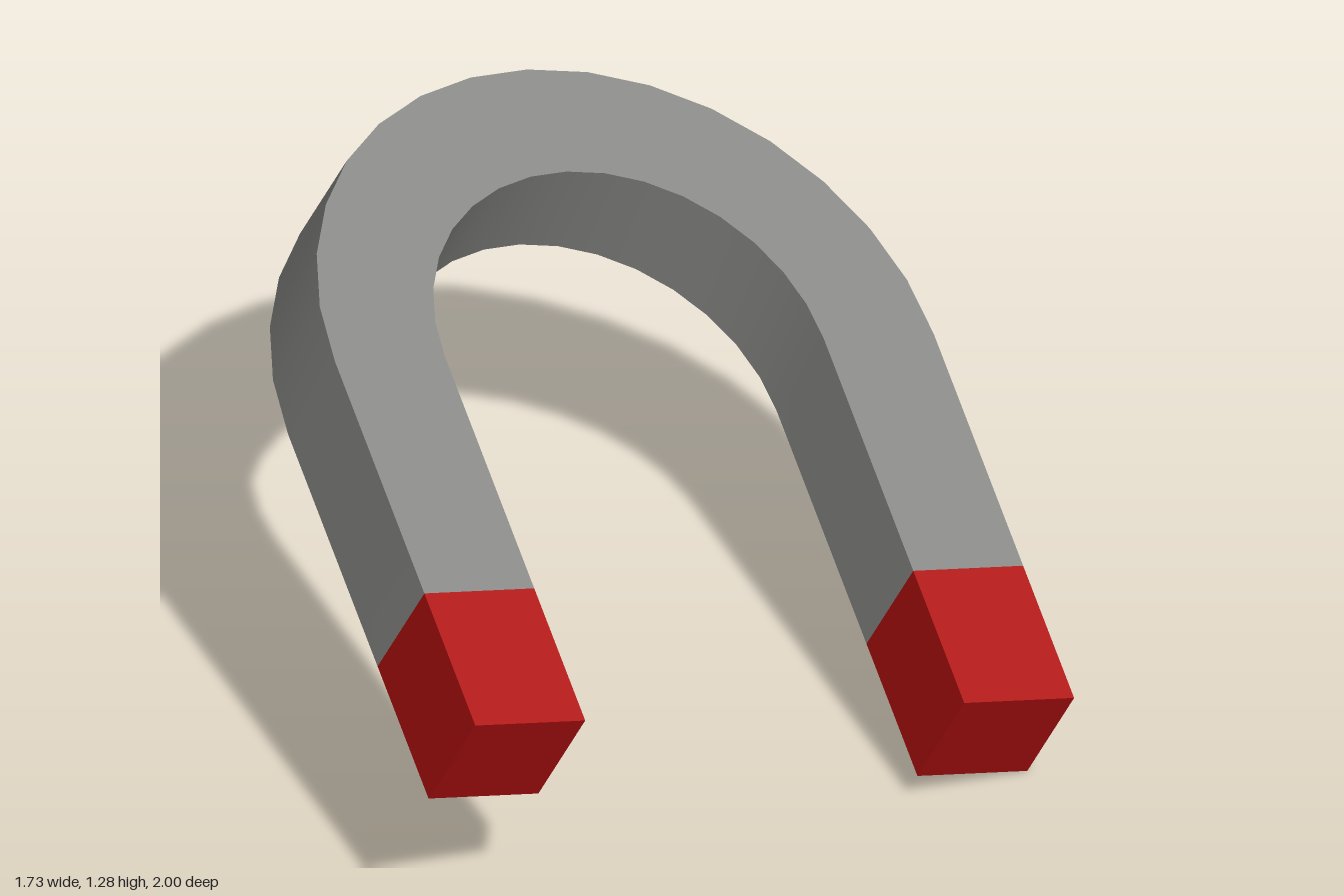
import * as THREE from 'three';
import { toCreasedNormals } from 'three/addons/utils/BufferGeometryUtils.js';

export function createModel() {
  const model = new THREE.Group();
  model.name = 'horseshoeMagnet';

  const steel = new THREE.MeshStandardMaterial({ color: 0x888886 });
  steel.name = 'grey steel';
  const red = new THREE.MeshStandardMaterial({ color: 0xb00f0f });
  red.name = 'red paint';

  const outer = 0.823, inner = 0.521, thick = 0.3;
  const legEnd = -0.686, tipEnd = -1.077;

  // Magnet in its own plane: arch up, legs down, thickness along z
  const magnet = new THREE.Group();
  magnet.name = 'magnet';

  // U-shaped body
  const u = new THREE.Shape();
  u.moveTo(outer, legEnd);
  u.lineTo(outer, 0);
  u.absarc(0, 0, outer, 0, Math.PI, false);
  u.lineTo(-outer, legEnd);
  u.lineTo(-inner, legEnd);
  u.lineTo(-inner, 0);
  u.absarc(0, 0, inner, Math.PI, 0, true);
  u.lineTo(inner, legEnd);
  u.closePath();
  const bodyGeo = new THREE.ExtrudeGeometry(u, { depth: thick, bevelEnabled: false, curveSegments: 8 });
  bodyGeo.translate(0, 0, -thick / 2);
  const body = new THREE.Mesh(toCreasedNormals(bodyGeo, 0.6), steel);
  body.name = 'body';
  magnet.add(body);

  // Painted poles at the leg ends
  for (const side of [1, -1]) {
    const pole = new THREE.Mesh(new THREE.BoxGeometry(outer - inner, legEnd - tipEnd, thick), red);
    pole.position.set(side * (outer + inner) / 2, (legEnd + tipEnd) / 2, 0);
    pole.name = side > 0 ? 'leftPole' : 'rightPole';
    magnet.add(pole);
  }

  // Tilt: across the legs, along the arch, through the thickness
  const across = new THREE.Vector3(0.956, -0.234, -0.176).normalize();
  const through = new THREE.Vector3(0.28, 0.88, 0.37);
  const along = new THREE.Vector3().crossVectors(through, across).normalize();
  through.crossVectors(across, along);
  magnet.setRotationFromMatrix(new THREE.Matrix4().makeBasis(across, along, through));
  model.add(magnet);

  // Rest on the ground, centred
  model.updateMatrixWorld(true);
  const box = new THREE.Box3().setFromObject(model, true);
  const c = box.getCenter(new THREE.Vector3());
  magnet.position.set(-c.x, -box.min.y, -c.z);

  return model;
}
